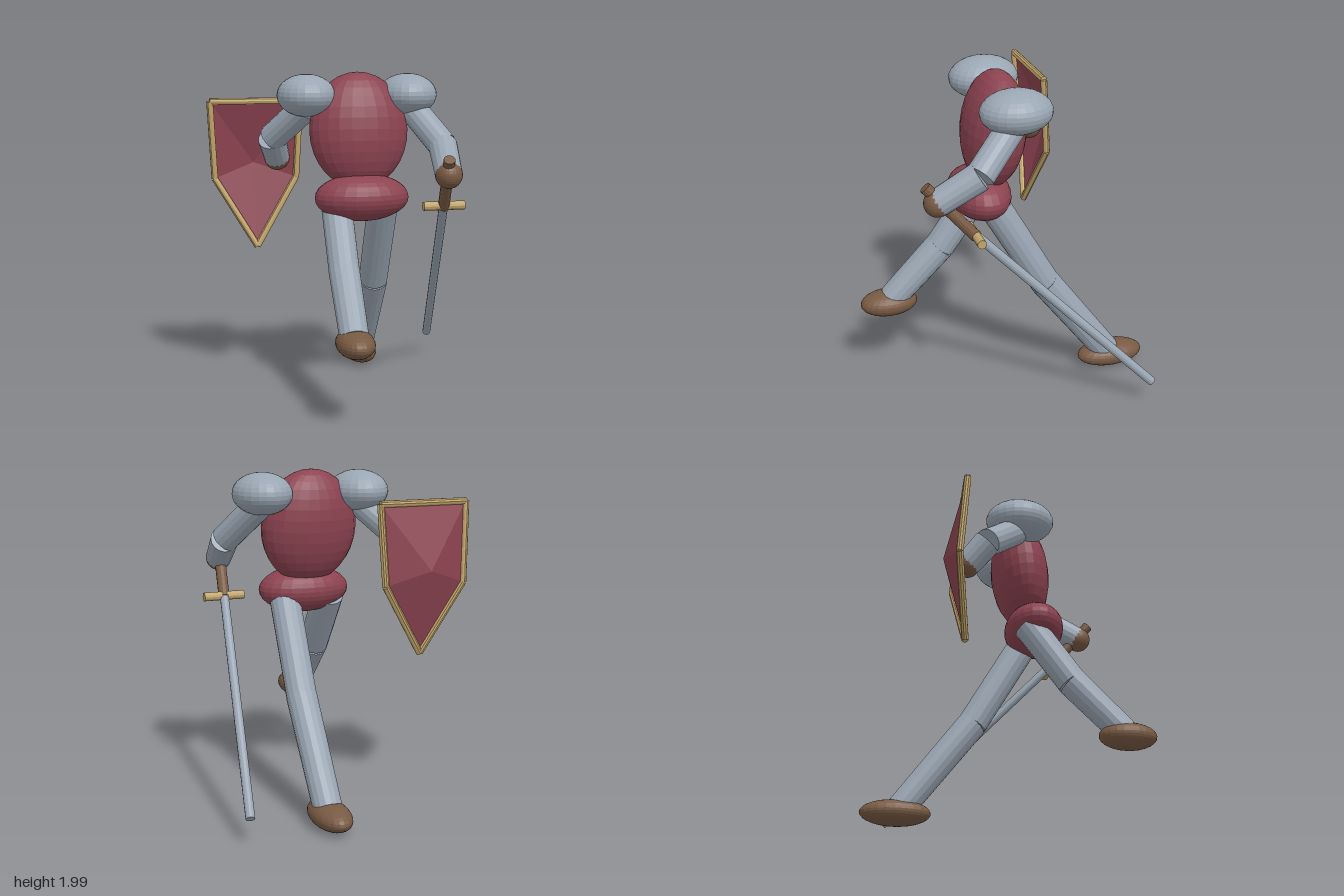
import * as THREE from 'three';

export function createModel() {
  const model = new THREE.Group();
  model.name = 'headlessKnight';
  const mat = (name, color) => {
    const m = new THREE.MeshStandardMaterial({ color, flatShading: true });
    m.name = name;
    return m;
  };
  const steel = mat('steel', 0x9aa6b3);
  const red = mat('red', 0x8c4350);
  const leather = mat('leather', 0x785a43);
  const brass = mat('brass', 0xc2a56a);
  const V = (p) => new THREE.Vector3(...p);

  const add = (name, geometry, material, parent = model) => {
    const mesh = new THREE.Mesh(geometry, material);
    mesh.name = name;
    parent.add(mesh);
    return mesh;
  };

  // Ellipsoid with given centre, radii and forward/back tilt
  const ball = (name, centre, radii, material, tilt = 0) => {
    const mesh = add(name, new THREE.SphereGeometry(1, 24, 16), material);
    mesh.position.set(...centre);
    mesh.scale.set(...radii);
    mesh.rotation.x = tilt;
  };

  // Capped cylinder from a to b
  const rod = (name, a, b, ra, rb, material, parent = model, sides = 16) => {
    const from = V(a), dir = V(b).sub(from);
    const mesh = add(name, new THREE.CylinderGeometry(rb, ra, dir.length(), sides), material, parent);
    mesh.position.copy(from).addScaledVector(dir, 0.5);
    mesh.quaternion.setFromUnitVectors(new THREE.Vector3(0, 1, 0), dir.normalize());
  };

  // Body
  ball('torso', [0.077, 1.652, 0.066], [0.302, 0.35, 0.181], red, -0.12);
  ball('pelvis', [0.077, 1.258, 0.155], [0.287, 0.143, 0.184], red);

  // Arms
  const arms = [
    { side: 'right', shoulder: [-0.235, 1.862, 0.027], top: [-0.235, 1.79, 0.0], elbow: [-0.41, 1.59, -0.195], hand: [-0.36, 1.46, -0.31] },
    { side: 'left', shoulder: [0.389, 1.862, 0.027], top: [0.39, 1.81, 0.03], elbow: [0.54, 1.57, 0.285], hand: [0.505, 1.425, 0.52] },
  ];
  for (const a of arms) {
    ball(a.side + 'Pauldron', a.shoulder, [0.176, 0.127, 0.212], steel);
    rod(a.side + 'UpperArm', a.top, a.elbow, 0.085, 0.085, steel);
    rod(a.side + 'Forearm', a.elbow, a.hand, 0.086, 0.08, steel);
    ball(a.side + 'Hand', a.hand, [0.08, 0.08, 0.08], leather);
  }

  // Legs
  const legs = [
    { side: 'right', hip: [-0.068, 1.22, 0.1], knee: [-0.077, 0.85, 0.365], ankle: [-0.087, 0.53, 0.675], foot: [-0.087, 0.505, 0.696], size: [0.111, 0.081, 0.178] },
    { side: 'left', hip: [0.222, 1.22, 0.105], knee: [0.24, 0.67, -0.212], ankle: [0.253, 0.11, -0.635], foot: [0.253, 0.083, -0.664], size: [0.111, 0.078, 0.214] },
  ];
  for (const l of legs) {
    rod(l.side + 'Thigh', l.hip, l.knee, 0.094, 0.092, steel);
    rod(l.side + 'Shin', l.knee, l.ankle, 0.093, 0.086, steel);
    ball(l.side + 'Foot', l.foot, l.size, leather);
  }

  // Sword, held low and trailing back
  const sword = new THREE.Group();
  sword.name = 'sword';
  model.add(sword);
  rod('grip', [0.487, 1.52, 0.585], [0.542, 1.205, 0.31], 0.034, 0.034, leather, sword, 12);
  rod('crossguard', [0.415, 1.215, 0.315], [0.67, 1.215, 0.315], 0.027, 0.027, brass, sword, 12);
  rod('blade', [0.54, 1.215, 0.315], [0.757, 0.158, -0.73], 0.027, 0.027, steel, sword, 12);

  // Shield: a fan of faces raised to a point at the back, with a brass rim
  const shield = new THREE.Group();
  shield.name = 'shield';
  model.add(shield);
  const rim = [
    [-0.772, 1.81, -0.35], [-0.205, 1.81, -0.35], [-0.227, 1.325, -0.385],
    [-0.488, 0.895, -0.325], [-0.745, 1.325, -0.385],
  ];
  const apex = [-0.488, 1.415, -0.462];
  const corners = [];
  rim.forEach((p, i) => {
    const q = rim[(i + 1) % rim.length];
    corners.push(...p, ...apex, ...q);
    rod('shieldRim', p, q, 0.021, 0.021, brass, shield, 10);
  });
  const face = new THREE.BufferGeometry();
  face.setAttribute('position', new THREE.Float32BufferAttribute(corners, 3));
  face.computeVertexNormals();
  const faceRed = mat('shieldRed', 0x8c4350);
  faceRed.side = THREE.DoubleSide;
  add('shieldFace', face, faceRed, shield);

  return model;
}
